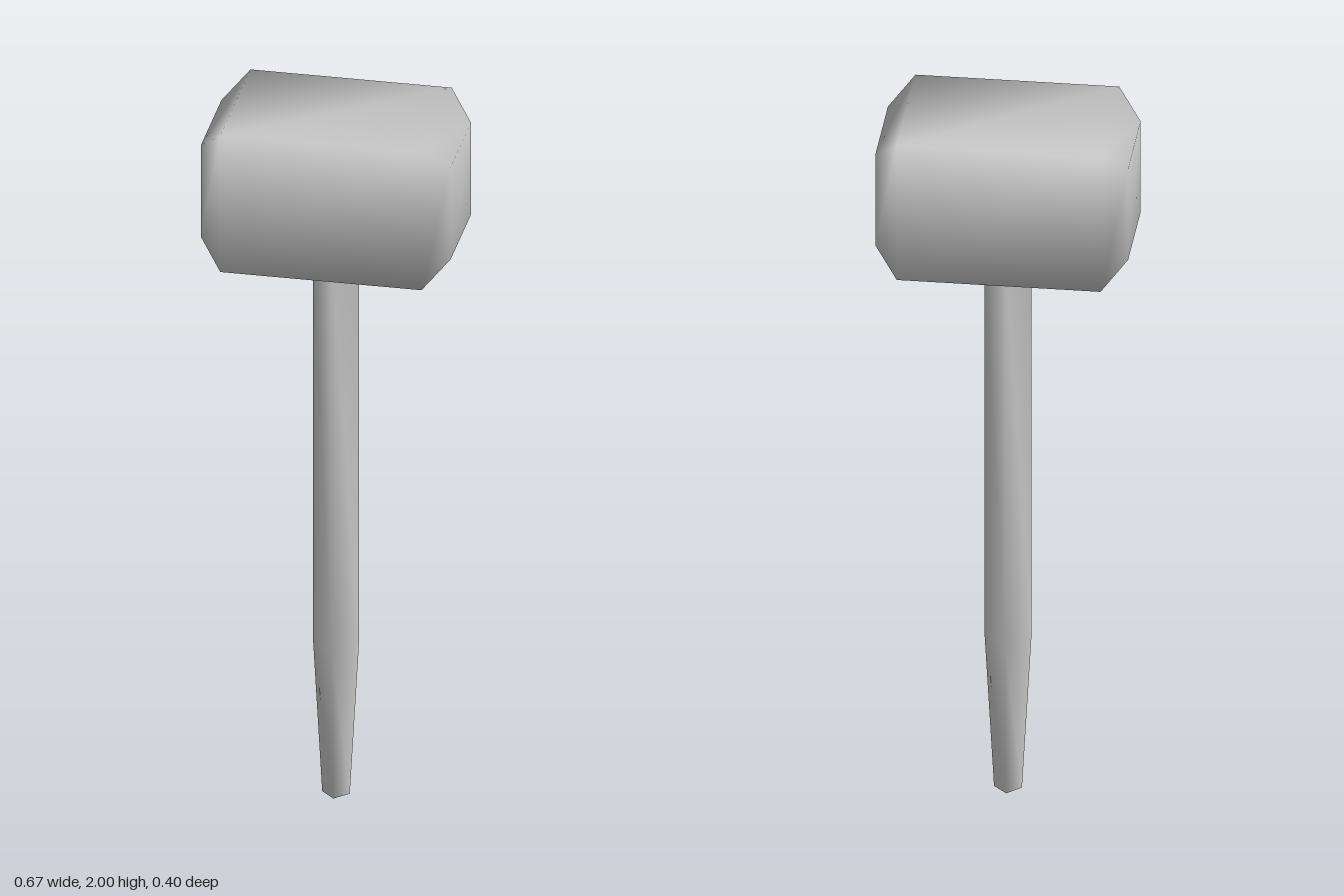
import * as THREE from 'three';
import { mergeVertices } from 'three/addons/utils/BufferGeometryUtils.js';

const material = new THREE.MeshStandardMaterial({ color: 0xcccccc });

// Four-sided lathe with shared corners, so shading flows over the edges
function fourSided(profile) {
  const lathe = new THREE.LatheGeometry(profile.map(([r, y]) => new THREE.Vector2(r, y)), 4);
  lathe.deleteAttribute('normal');
  lathe.deleteAttribute('uv');
  return mergeVertices(lathe, 1e-4);
}

function addPart(group, name, geometry) {
  geometry.computeVertexNormals();
  const mesh = new THREE.Mesh(geometry, material);
  mesh.name = name;
  group.add(mesh);
  return mesh;
}

export function createModel() {
  const group = new THREE.Group();
  group.name = 'mallet';

  // Handle: diamond section, tapering to a narrow flat foot
  addPart(group, 'handle', fourSided([[0, 0], [0.037, 0], [0.062, 0.45], [0.062, 1.62]]));

  // Head: square block lying along x, with bevelled ends
  const corner = Math.SQRT2;
  const headGeometry = fourSided([
    [0, -0.335], [0.135 * corner, -0.335], [0.2 * corner, -0.27],
    [0.2 * corner, 0.27], [0.135 * corner, 0.335], [0, 0.335],
  ]);
  headGeometry.rotateY(Math.PI / 4).rotateZ(Math.PI / 2);
  addPart(group, 'head', headGeometry).position.y = 1.8;

  return group;
}
